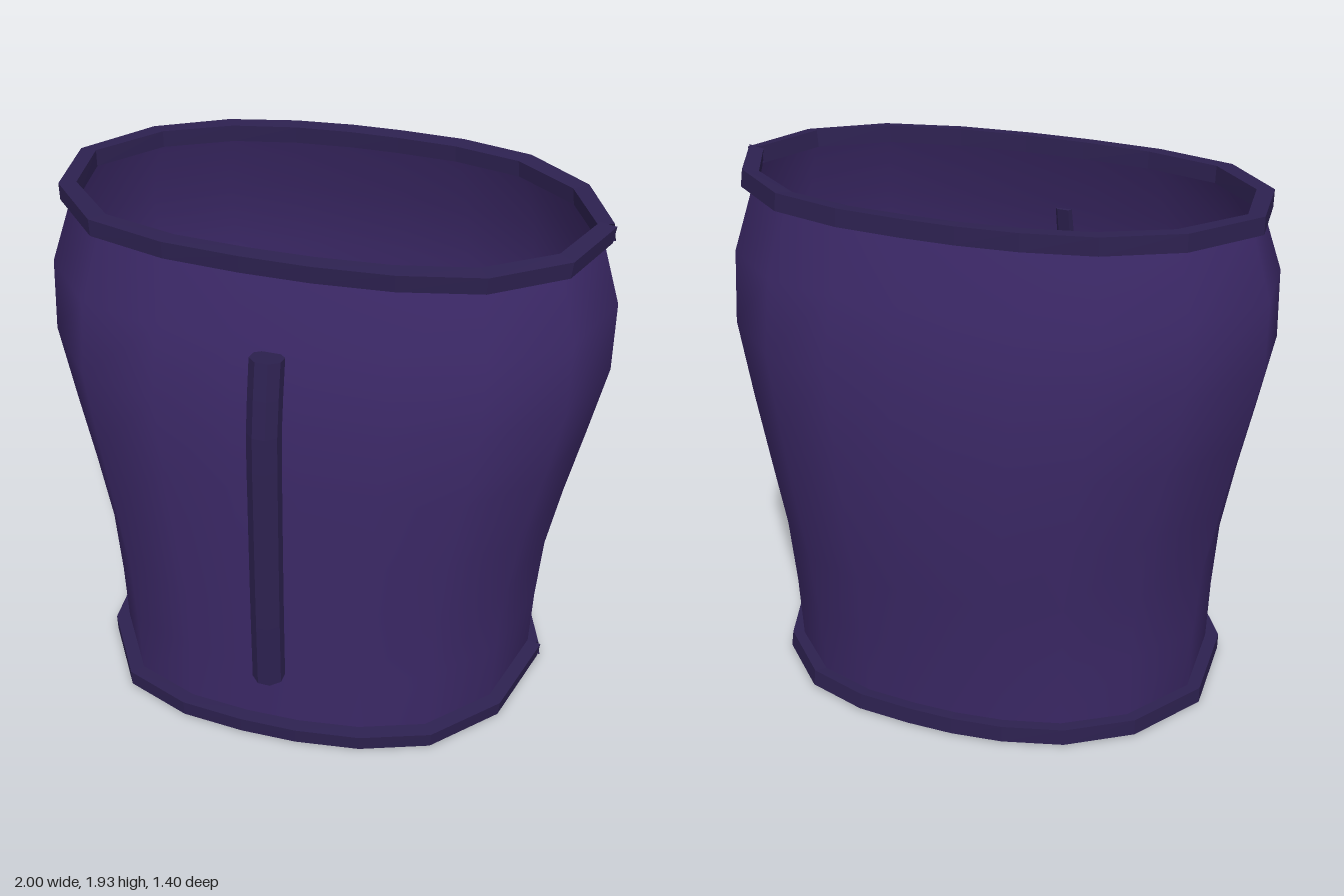
import * as THREE from 'three';

// Unit outline of the sleeve seen from above, starting at the seam on +x:
// front half first (z > 0), then the back half.
const OUTLINE = [
  [1, 0], [0.91, 0.49], [0.67, 0.81], [0.38, 0.94], [0.1, 0.99], [-0.15, 1], [-0.43, 0.98], [-0.73, 0.86], [-0.95, 0.49],
  [-1, 0], [-0.82, -0.51], [-0.57, -0.8], [-0.32, -0.93], [-0.1, -0.985], [0.1, -1], [0.34, -0.99], [0.61, -0.88], [0.86, -0.53],
];
const SIDES = OUTLINE.length;
const CENTRE_Z = -0.1;

// Point on the outline scaled to a half width and to front and back depths
const ringPoint = (i, w, front, back) => {
  const [x, z] = OUTLINE[i % SIDES];
  return [x * w, CENTRE_Z + z * (z > 0 ? front : back)];
};

// Skin a grid of points: rows[j][i], wrapping in i when asked
function skin(rows, wrap) {
  const n = rows[0].length, index = [];
  for (let j = 0; j < rows.length - 1; j++) {
    for (let i = 0; i < (wrap ? n : n - 1); i++) {
      const a = j * n + i, b = j * n + (i + 1) % n;
      index.push(a, a + n, b, b, a + n, b + n);
    }
  }
  const geometry = new THREE.BufferGeometry();
  geometry.setAttribute('position', new THREE.Float32BufferAttribute(rows.flat(2), 3));
  geometry.setIndex(index);
  geometry.computeVertexNormals();
  return geometry;
}

// Rolled rim: a square section swept round the outline, twisting slightly up to the seam
function rim(y, w, front, back) {
  const rows = [];
  for (let i = 0; i <= SIDES; i++) {
    const twist = 0.3 * (i / SIDES - 0.5);
    const row = [];
    for (let k = 0; k < 4; k++) {
      const a = twist + Math.PI / 4 + k * Math.PI / 2;
      const out = Math.cos(a) * 0.041, up = Math.sin(a) * 0.044;
      const [x, z] = ringPoint(i, w + out, front + out, back + out);
      row.push([x, y + up, z]);
    }
    rows.push(row);
  }
  return skin(rows, true);
}

export function createModel() {
  const group = new THREE.Group();
  const cloth = new THREE.MeshStandardMaterial({ color: 0x3b2866, side: THREE.DoubleSide });
  const trim = new THREE.MeshStandardMaterial({ color: 0x2d2150, side: THREE.DoubleSide, flatShading: true });
  const add = (name, geometry, material) => {
    const mesh = new THREE.Mesh(geometry, material);
    mesh.name = name;
    group.add(mesh);
  };

  // Open sleeve: height, half width, front depth, back depth
  const rings = [
    [0.04, 0.8, 0.71, 0.51], [0.31, 0.81, 0.71, 0.53], [0.57, 0.83, 0.71, 0.56], [0.83, 0.88, 0.71, 0.59],
    [1.1, 0.94, 0.705, 0.6], [1.38, 1, 0.695, 0.6], [1.64, 1, 0.64, 0.55], [1.9, 0.92, 0.54, 0.46],
  ];
  add('sleeve', skin(rings.map(([y, w, f, b]) => OUTLINE.map((_, i) => {
    const [x, z] = ringPoint(i, w, f, b);
    return [x, y, z];
  })), true), cloth);

  // Rims around both openings
  add('topRim', rim(1.9, 0.935, 0.55, 0.475), trim);
  add('bottomRim', rim(0.036, 0.82, 0.73, 0.53), trim);

  // Raised rib following the front
  const path = new THREE.CatmullRomCurve3(
    [[0.31, 0.645], [0.57, 0.645], [0.83, 0.642], [1.1, 0.637], [1.38, 0.628], [1.635, 0.583]]
      .map(([y, z]) => new THREE.Vector3(-0.015, y, z)));
  const section = new THREE.Shape(Array.from({ length: 8 }, (_, k) => {
    const a = (k + 0.5) * Math.PI / 4;
    return new THREE.Vector2(Math.cos(a) * 0.059, Math.sin(a) * 0.059);
  }));
  add('frontRib', new THREE.ExtrudeGeometry(section, { steps: 10, extrudePath: path, bevelEnabled: false }), trim);

  return group;
}
